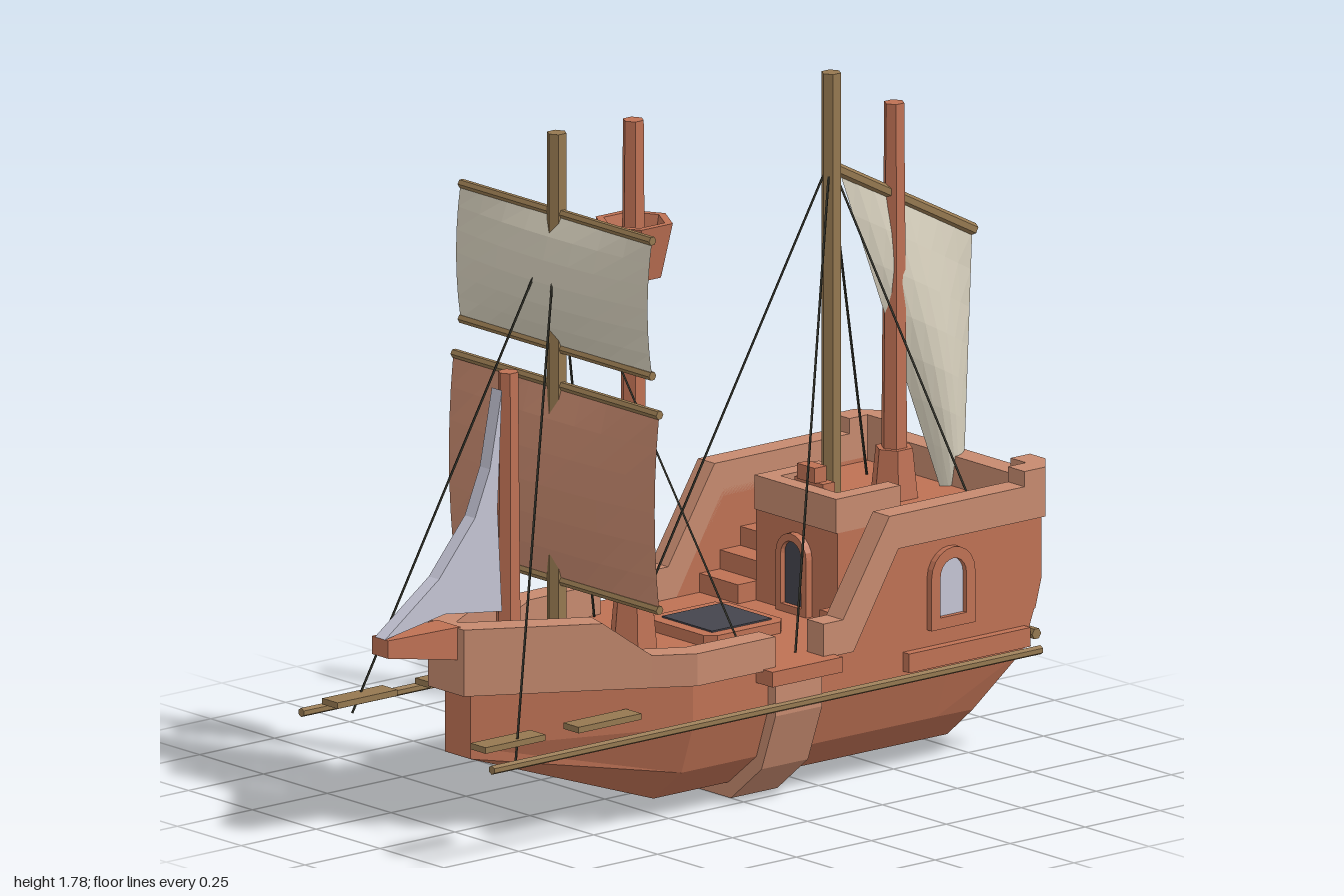
import * as THREE from 'three';

const mat = (name, color, extra = {}) => new THREE.MeshStandardMaterial({ name, color, ...extra });

export function createModel() {
  const ship = new THREE.Group();
  ship.name = 'sailingShip';
  const hullRed = mat('terracotta', 0xbe7154);
  const trim = mat('light terracotta', 0xc68a6f);
  const wood = mat('brown wood', 0x957850);
  const glass = mat('pale lavender', 0xc4c4d4);
  const dark = mat('dark grey', 0x45454d);
  const rope = mat('rope', 0x33332a);
  const cream = mat('cream cloth', 0xd8d1be, { side: THREE.DoubleSide });
  const redCloth = mat('red cloth', 0xc98b70, { side: THREE.DoubleSide });

  // ---- helpers ----
  const add = (name, geo, material) => {
    const g = geo.index ? geo.toNonIndexed() : geo;
    g.computeVertexNormals(); // faceted look
    const m = new THREE.Mesh(g, material);
    m.name = name;
    ship.add(m);
    return m;
  };
  // box from min/max bounds
  const box = (name, x0, x1, y0, y1, z0, z1, material) => add(name,
    new THREE.BoxGeometry(x1 - x0, y1 - y0, z1 - z0)
      .translate((x0 + x1) / 2, (y0 + y1) / 2, (z0 + z1) / 2), material);
  const shapeOf = (pts) => new THREE.Shape(pts.map(([a, b]) => new THREE.Vector2(a, b)));
  // profile in (z, y), thickness along x
  const extrudeX = (pts, x0, x1) =>
    new THREE.ExtrudeGeometry(shapeOf(pts), { depth: x1 - x0, bevelEnabled: false })
      .rotateY(-Math.PI / 2).translate(x1, 0, 0);
  // plan in (x, z), thickness along y
  const extrudeY = (pts, y0, y1) =>
    new THREE.ExtrudeGeometry(shapeOf(pts.map(([x, z]) => [x, -z])), { depth: y1 - y0, bevelEnabled: false })
      .rotateX(-Math.PI / 2).translate(0, y0, 0);
  // closed solid through equal-length loops of points, wound outward
  const loft = (loops) => {
    const tris = [], n = loops[0].length;
    for (let i = 0; i < loops.length - 1; i++) {
      for (let j = 0; j < n; j++) {
        const k = (j + 1) % n, a = loops[i], b = loops[i + 1];
        tris.push([a[j], a[k], b[k]], [a[j], b[k], b[j]]);
      }
    }
    const first = loops[0], last = loops[loops.length - 1];
    for (let j = 1; j < n - 1; j++) {
      tris.push([first[0], first[j + 1], first[j]], [last[0], last[j], last[j + 1]]);
    }
    const v = (p) => new THREE.Vector3(...p);
    let volume = 0;
    tris.forEach(([a, b, c]) => { volume += v(a).dot(v(b).cross(v(c))); });
    if (volume < 0) tris.forEach((t) => t.reverse());
    const g = new THREE.BufferGeometry();
    g.setAttribute('position', new THREE.Float32BufferAttribute(tris.flat(2), 3));
    return g;
  };
  // straight round bar between two points
  const bar = (name, a, b, r, material, sides = 6, r2 = r) => {
    const p = new THREE.Vector3(...a), q = new THREE.Vector3(...b), d = q.clone().sub(p);
    const m = add(name, new THREE.CylinderGeometry(r2, r, d.length(), sides), material);
    m.position.copy(p).add(q).multiplyScalar(0.5);
    m.quaternion.setFromUnitVectors(new THREE.Vector3(0, 1, 0), d.normalize());
    return m;
  };
  const archPath = (P, w, h) => {
    const p = new P();
    p.moveTo(-w, 0);
    p.lineTo(w, 0);
    p.lineTo(w, h - w);
    p.absarc(0, h - w, w, 0, Math.PI, false);
    p.lineTo(-w, 0);
    return p;
  };
  // arched frame with a pane, facing +z before it is turned
  const arch = (name, w, h, edge, pane, pos, turn) => {
    const outer = archPath(THREE.Shape, w, h), hole = archPath(THREE.Path, w - edge, h - 2 * edge);
    outer.holes.push(new THREE.Path(hole.getPoints(5).map((p) => new THREE.Vector2(p.x, p.y + edge)).reverse()));
    const opt = { depth: 0.02, bevelEnabled: false, curveSegments: 5 };
    const frame = add(name + 'Frame', new THREE.ExtrudeGeometry(outer, opt), hullRed);
    const panel = add(name + 'Pane', new THREE.ExtrudeGeometry(
      archPath(THREE.Shape, w - edge, h - 2 * edge), { ...opt, depth: 0.006 }).translate(0, edge, 0), pane);
    [frame, panel].forEach((m) => { m.position.set(...pos); m.rotation.y = turn; });
  };

  // ---- hull: half sections mirrored into loops ----
  const section = (half) => [...half, ...half.map(([x, y, z]) => [-x, y, z]).reverse()];
  const mid = (z) => [[0.19, 0.04, z], [0.3, 0.13, z], [0.345, 0.26, z], [0.345, 0.38, z]];
  add('hull', loft([
    [[0.05, 0.2, 0.74], [0.05, 0.23, 0.74], [0.05, 0.28, 0.74], [0.05, 0.38, 0.74]],
    mid(0.25), mid(-0.6),
    [[0.19, 0.04, -0.73], [0.29, 0.125, -0.73], [0.345, 0.27, -0.85], [0.345, 0.38, -0.89]],
  ].map(section)), hullRed);

  // band around the middle of the hull
  const bandOut = [[0.375, 0.375], [0.375, 0.25], [0.32, 0.1], [0.2, 0]];
  const bandIn = [[0.18, 0.045], [0.29, 0.135], [0.335, 0.26], [0.335, 0.375]];
  const flip = (pts) => pts.map(([x, y]) => [-x, y]).reverse();
  add('hullBand', new THREE.ExtrudeGeometry(
    shapeOf([...bandOut, ...flip(bandOut), ...flip(bandIn), ...bandIn]),
    { depth: 0.155, bevelEnabled: false }).translate(0, 0, -0.155), trim);

  // ---- stern castle, decks and stairs ----
  box('poopBlock', -0.32, 0.32, 0.375, 0.63, -0.91, -0.6, hullRed);
  box('cabin', -0.16, 0.16, 0.375, 0.63, -0.6, -0.39, hullRed);
  box('cabinFrontRail', -0.16, 0.16, 0.62, 0.71, -0.43, -0.385, trim);
  box('helmStand', -0.055, 0.055, 0.63, 0.72, -0.47, -0.43, hullRed);
  box('helm', -0.035, 0.035, 0.72, 0.76, -0.46, -0.42, hullRed);
  arch('door', 0.06, 0.21, 0.02, dark, [0, 0.38, -0.39], 0);
  box('sternRail', -0.25, 0.25, 0.62, 0.71, -0.955, -0.89, trim);
  bar('sternPole', [-0.37, 0.315, -0.875], [0.37, 0.315, -0.875], 0.015, wood);

  for (const s of [-1, 1]) {
    const span = (a, b) => (s > 0 ? [a, b] : [-b, -a]);
    const sideBox = (name, a, b, ...rest) => box(name, ...span(a, b), ...rest);
    const plan = (pts) => pts.map(([x, z]) => [x * s, z]);

    add('castleWall', extrudeX([[-0.25, 0.375], [-0.41, 0.64], [-0.91, 0.64], [-0.91, 0.45], [-0.89, 0.375]],
      ...span(0.31, 0.347)), hullRed);
    add('castleRail', extrudeX([[-0.16, 0.375], [-0.16, 0.465], [-0.225, 0.465], [-0.38, 0.71],
      [-0.84, 0.71], [-0.84, 0.62], [-0.41, 0.62], [-0.26, 0.375]], ...span(0.31, 0.375)), trim);
    add('sternCorner', extrudeY(plan([[0.375, -0.83], [0.375, -0.9], [0.31, -0.955], [0.25, -0.955],
      [0.25, -0.89], [0.31, -0.89], [0.31, -0.83]]), 0.62, 0.75), trim);
    sideBox('cabinSideRail', 0.11, 0.16, 0.62, 0.71, -0.6, -0.43, trim);
    for (let i = 0; i < 4; i++) {
      sideBox('stairStep', 0.16, 0.315, 0.375, 0.43 + i * 0.05, -0.61, -0.33 - i * 0.068, hullRed);
    }
    arch('sideWindow', 0.073, 0.21, 0.03, glass, [s * 0.345, 0.38, -0.602], s * Math.PI / 2);
    sideBox('sideLedge', 0.33, 0.37, 0.285, 0.335, -0.855, -0.45, hullRed);
    sideBox('bandCap', 0.33, 0.41, 0.34, 0.38, -0.195, 0.04, hullRed);

    // bow rail: [outer x, outer z, inner x, inner z, top]
    add('bowRail', loft([
      [0.375, 0, 0.31, 0, 0.46], [0.375, 0.26, 0.305, 0.24, 0.46], [0.315, 0.36, 0.245, 0.34, 0.46],
      [0.25, 0.47, 0.18, 0.45, 0.55], [0.07, 0.78, 0.0, 0.75, 0.55],
    ].map(([ox, oz, ix, iz, t]) => [[s * ox, 0.375, oz], [s * ox, t, oz], [s * ix, t, iz], [s * ix, 0.375, iz]])), trim);

    // side poles and floating planks
    bar('sidePole', [s * 0.373, 0.272, -0.885], [s * 0.373, 0.272, 0.945], 0.012, wood);
    sideBox('plank', 0.26, 0.32, 0.3, 0.316, 0.72, 0.92, wood);
    sideBox('plank', 0.26, 0.32, 0.3, 0.316, 0.4, 0.61, wood);

    // rigging
    for (const [topZ, x, y, z] of [[0.41, 0.32, 0.26, 0.82], [0.41, 0.3, 0.38, 0.03],
      [-0.5, 0.3, 0.38, -0.13], [-0.5, 0.29, 0.26, -0.92]]) {
      bar('riggingRope', [0, 1.55, topZ], [s * x, y, z], 0.0035, rope, 4);
    }
  }
  box('stemRail', -0.07, 0.07, 0.375, 0.55, 0.74, 0.78, trim);

  // bowsprit
  const beak = (w, y0, z) => [[-w, y0, z], [w, y0, z], [w, 0.552, z], [-w, 0.552, z]];
  add('bowsprit', loft([beak(0.045, 0.465, 0.77), beak(0.032, 0.505, 1)]), hullRed);

  // deck hatch with chamfered frame
  const h = 0.13, c = 0.025;
  add('hatchFrame', extrudeY([[-h, -h + c], [-h + c, -h], [h - c, -h], [h, -h + c],
    [h, h - c], [h - c, h], [-h + c, h], [-h, h - c]].map(([x, z]) => [x, z - 0.12]), 0.375, 0.41), hullRed);
  box('hatchCover', -0.098, 0.098, 0.405, 0.414, -0.222, -0.024, dark);

  // ---- masts ----
  const mast = (name, z, y0, y1, r0, r1, material) => bar(name, [0, y0, z], [0, y1, z], r0, material, 6, r1);
  mast('bowMast', 0.572, 0.38, 1.18, 0.034, 0.027, hullRed);
  mast('foreMast', 0.41, 0.38, 1.78, 0.026, 0.026, wood);
  mast('mainMast', 0.155, 0.38, 1.77, 0.038, 0.028, hullRed);
  mast('mainMastCollar', 0.155, 0.38, 0.515, 0.065, 0.052, hullRed);
  mast('aftMast', -0.505, 0.62, 1.78, 0.026, 0.026, wood);
  mast('mizzenMast', -0.715, 0.62, 1.665, 0.036, 0.027, hullRed);
  mast('mizzenMastCollar', -0.715, 0.62, 0.76, 0.065, 0.05, hullRed);
  add('crowsNest', new THREE.LatheGeometry([[0, 1.36], [0.072, 1.36], [0.104, 1.505], [0.082, 1.505],
    [0.06, 1.4], [0, 1.4]].map(([x, y]) => new THREE.Vector2(x, y)), 6).translate(0, 0, 0.152), hullRed);

  // ---- sails ----
  const squareSail = (name, half, y0, y1, material) => {
    const g = new THREE.PlaneGeometry(half * 2, y1 - y0, 8, 6);
    const p = g.attributes.position;
    for (let i = 0; i < p.count; i++) {
      const u = p.getX(i) / half, v = 2 * p.getY(i) / (y1 - y0);
      p.setZ(i, 0.05 * (1 - v * v) * (1 - 0.7 * u * u));
    }
    add(name, g.translate(0, (y0 + y1) / 2, 0.412), material);
    for (const y of [y0, y1]) bar(name + 'Yard', [-half, y, 0.41], [half, y, 0.41], 0.012, wood);
  };
  squareSail('topSail', 0.375, 1.215, 1.57, cream);
  squareSail('courseSail', 0.403, 0.605, 1.118, redCloth);

  // aft sail: grid blended between gaff and short boom, bulging to the left
  const aft = new THREE.PlaneGeometry(1, 1, 8, 8), ap = aft.attributes.position;
  for (let i = 0; i < ap.count; i++) {
    const u = ap.getX(i) + 0.5, v = ap.getY(i) + 0.5;
    const top = [-0.53 - 0.445 * u, 1.52 - 0.24 * u], low = [-0.915 - 0.025 * u, 0.5 - 0.01 * u];
    ap.setXYZ(i, 0.05 * Math.sin(Math.PI * u) * Math.sin(Math.PI * v),
      low[1] + (top[1] - low[1]) * v, low[0] + (top[0] - low[0]) * v);
  }
  add('aftSail', aft, cream);
  bar('gaff', [0, 1.53, -0.51], [0, 1.285, -0.98], 0.016, wood);
  bar('aftBoom', [0, 0.505, -0.9], [0.03, 0.47, -0.99], 0.014, wood);

  // jib with a hollow leading edge
  add('jib', extrudeX([[1, 0.552], [0.82, 0.68], [0.7, 0.82], [0.65, 0.94], [0.61, 1.14],
    [0.625, 0.83], [0.61, 0.56], [0.8, 0.585]], -0.02, 0.02), glass);

  return ship;
}
